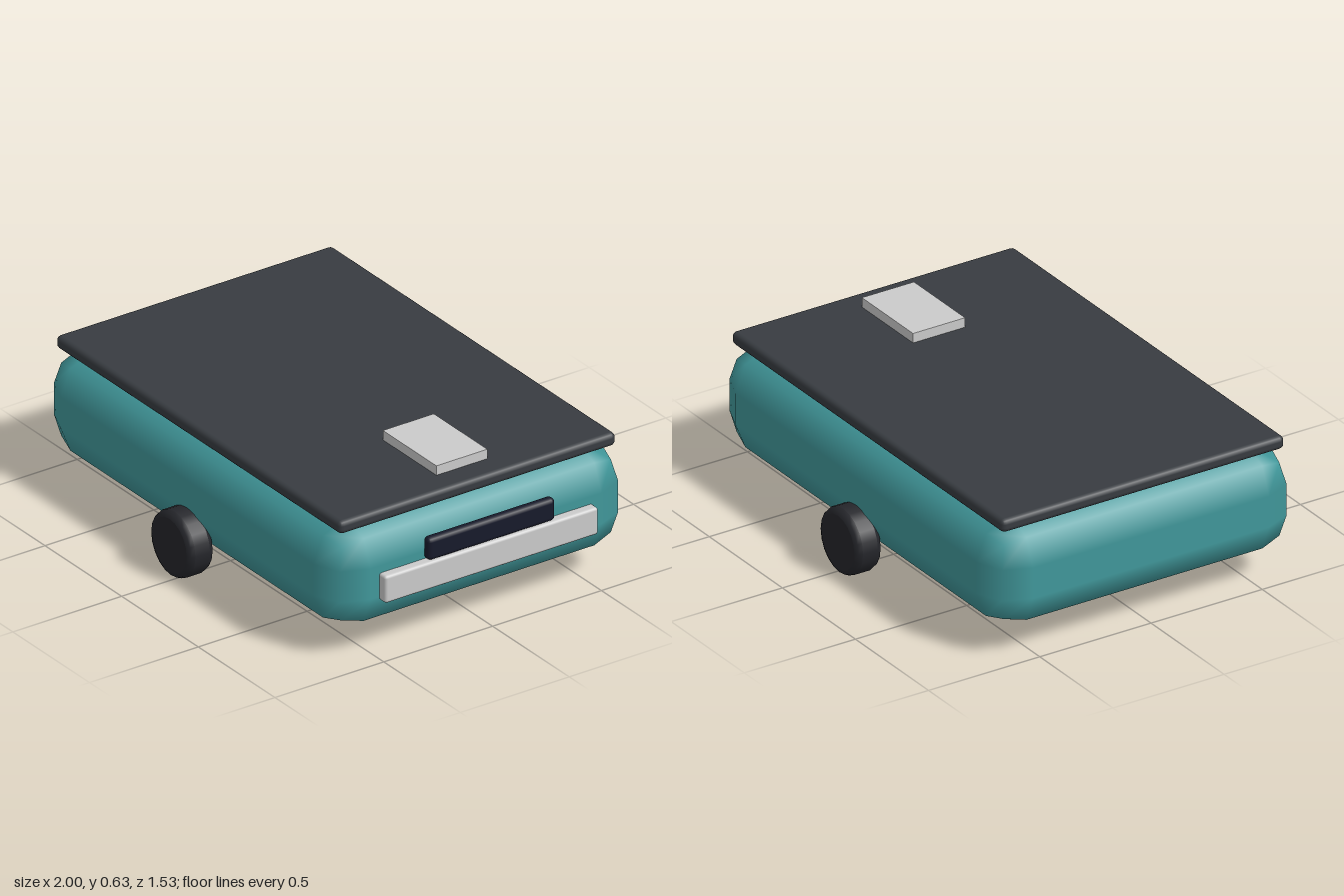
import * as THREE from 'three';
import { RoundedBoxGeometry } from 'three/addons/geometries/RoundedBoxGeometry.js';

const mat = (color) => new THREE.MeshStandardMaterial({ color });
const TEAL = mat(0x41989b), LID = mat(0x383c41), TYRE = mat(0x25262b), NAVY = mat(0x171a2b), GREY = mat(0xcccccc);

export function createModel() {
  const model = new THREE.Group();

  // Box given by its min and max corners; edges are rounded when radius > 0
  const addBox = (name, material, min, max, radius = 0, segments = 2) => {
    const size = max.map((v, i) => v - min[i]);
    const geometry = radius ? new RoundedBoxGeometry(...size, segments, radius) : new THREE.BoxGeometry(...size);
    const mesh = new THREE.Mesh(geometry, material);
    mesh.name = name;
    mesh.position.set(...max.map((v, i) => (v + min[i]) / 2));
    model.add(mesh);
  };

  // Hull with coarse rounded edges, and the flat lid above it
  addBox('body', TEAL, [-1, 0.1, -0.685], [0.957, 0.54, 0.685], 0.155, 1);
  addBox('lid', LID, [-0.952, 0.535, -0.635], [0.908, 0.59, 0.635], 0.02);
  addBox('topBlock', GREY, [0.45, 0.58, -0.117], [0.8, 0.63, 0.117]);

  // Bumper and sensor strip on the end face
  addBox('bumper', GREY, [0.947, 0.24, -0.49], [0.997, 0.355, 0.49], 0.012);
  addBox('sensorStrip', NAVY, [0.957, 0.36, -0.292], [1, 0.455, 0.292], 0.018);

  // Bevelled wheels; doubled profile points keep the flat sides crisp
  const R = 0.136, H = 0.0575, B = 0.024;
  const half = [[R - B, H], [R - B, H], [R - 0.3 * B, H - 0.3 * B], [R, H - B], [R, H - B]];
  const profile = [[0, -H], ...half.map(([r, y]) => [r, -y]), ...[...half].reverse(), [0, H]];
  const wheelGeometry = new THREE.LatheGeometry(profile.map(([r, y]) => new THREE.Vector2(r, y)), 20);
  wheelGeometry.rotateX(Math.PI / 2);
  for (const side of [-1, 1]) {
    const wheel = new THREE.Mesh(wheelGeometry, TYRE);
    wheel.name = side > 0 ? 'frontWheel' : 'backWheel';
    wheel.position.set(-0.022, R, side * 0.7075);
    model.add(wheel);
  }
  return model;
}
